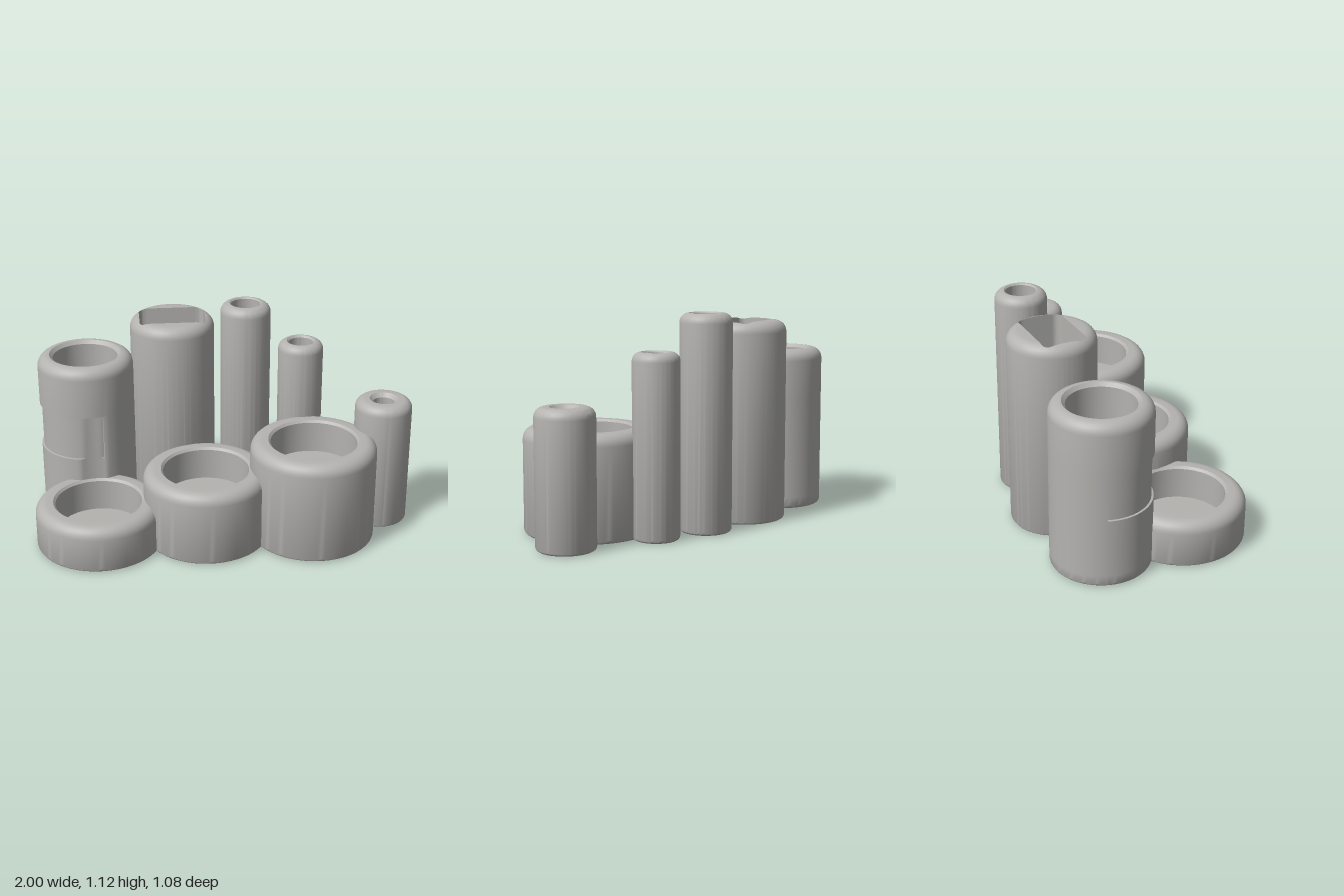
import * as THREE from 'three';
import { toCreasedNormals } from 'three/addons/utils/BufferGeometryUtils.js';

const TAU = Math.PI * 2;
const evenAngles = Array.from({ length: 96 }, (_, i) => (i / 96) * TAU);

// Revolve [radius, y] rows (bottom centre, outside, rim, inside, floor centre); warp may reshape each point
function revolve(rows, warp = (r, y) => [r, y], angles = evenAngles) {
  const pos = [], index = [], n = angles.length;
  rows.forEach(([r0, y0], i) => angles.forEach((t) => {
    const [r, y] = warp(r0, y0, t, i);
    pos.push(r * Math.cos(t), y, r * Math.sin(t));
  }));
  for (let i = 0; i < rows.length - 1; i++) {
    for (let j = 0; j < n; j++) {
      const a = i * n + j, b = i * n + ((j + 1) % n);
      index.push(a, a + n, b, b, a + n, b + n);
    }
  }
  const geo = new THREE.BufferGeometry();
  geo.setAttribute('position', new THREE.Float32BufferAttribute(pos, 3));
  geo.setIndex(index);
  return toCreasedNormals(geo, 0.6);
}

// Quarter-round rows centred at (r, y)
function fillet(r, y, size, from, to, steps = 7) {
  return Array.from({ length: steps + 1 }, (_, i) => {
    const a = from + ((to - from) * i) / steps;
    return [r + size * Math.cos(a), y + size * Math.sin(a)];
  });
}

// Outside of a cup: rounded base, wall and rounded shoulder, with optional extra wall rows
function shell(r, h, round, wall = []) {
  return [[0, 0], ...fillet(r - 0.02, 0.02, 0.02, -Math.PI / 2, 0, 4), ...wall,
    ...fillet(r - round, h - round, round, 0, Math.PI / 2)];
}

// Chamfered bore down to a flat floor
const bore = (rim, hole, h, floor) => [[rim, h], [hole, h - (rim - hole)], [hole, floor], [0, floor]];

export function createModel() {
  const group = new THREE.Group();
  const grey = new THREE.MeshStandardMaterial({ color: 0xb4b3b0 });
  grey.name = 'warm grey';
  const add = (name, geo, x, z) => {
    const mesh = new THREE.Mesh(geo, grey);
    mesh.name = name;
    mesh.position.set(x, 0, z);
    group.add(mesh);
  };

  // Round cups: name, x, z, radius, height, shoulder, rim radius, bore radius, floor height
  [
    ['lowWideCup', -0.67, 0.2, 0.33, 0.245, 0.06, 0.237, 0.225, 0.065],
    ['middleWideCup', -0.105, 0.178, 0.33, 0.395, 0.06, 0.237, 0.225, 0.215],
    ['tallWideCup', 0.455, 0.205, 0.33, 0.545, 0.06, 0.237, 0.225, 0.365],
    ['tallSlimTube', 0.15, -0.312, 0.135, 1.12, 0.05, 0.085, 0.078, 0.15],
    ['middleSlimTube', 0.435, -0.193, 0.12, 0.94, 0.045, 0.075, 0.065, 0.15],
    ['shortSlimTube', 0.845, 0.065, 0.15, 0.7, 0.05, 0.075, 0.055, 0.15],
  ].forEach(([name, x, z, r, h, round, rim, hole, floor]) =>
    add(name, revolve([...shell(r, h, round), ...bore(rim, hole, h, floor)]), x, z));

  // Back cup: shallow wrapped recess, and a groove clearing the bore of the low cup
  const R = 0.255, start = 1.23, end = 3.46, dx = 0.045, dz = 0.47, clear = 0.237;
  const recessed = (r, y, t) => {
    if (r < R - 0.001) return [r, y];
    if (y > 0.37 && y < 0.61 && t > start && t < end) r = R - 0.011;
    const along = dx * Math.cos(t) + dz * Math.sin(t);
    const disc = along * along - dx * dx - dz * dz + clear * clear;
    if (y > 0.062 && y < 0.61 && along > 0 && disc > 0) r = Math.min(r, along - Math.sqrt(disc));
    return [r, y];
  };
  const steps = [0.061, 0.063, 0.3695, 0.3705, 0.6095, 0.6105].map((y) => [R, y]);
  const angles = [...evenAngles, start - 0.001, start + 0.001, end - 0.001, end + 0.001].sort((a, b) => a - b);
  add('recessedCup', revolve([...shell(R, 0.88, 0.06, steps), ...bore(0.19, 0.172, 0.88, 0.1)],
    recessed, angles), -0.715, -0.27);

  // Slotted cup: the rounded rectangular slot cuts into the shoulder at both ends
  const r = 0.225, h = 1.06, round = 0.06, hx = 0.175, hz = 0.115, corner = 0.035;
  const slotRadius = (t) => {
    const c = Math.abs(Math.cos(t)), s = Math.abs(Math.sin(t));
    const d = Math.min(hx / Math.max(c, 1e-6), hz / Math.max(s, 1e-6));
    const cx = hx - corner, cz = hz - corner;
    if (d * c <= cx || d * s <= cz) return d;
    const along = c * cx + s * cz;
    return along + Math.sqrt(along * along - cx * cx - cz * cz + corner * corner);
  };
  const topAt = (q) => {
    const over = Math.max(0, q - (r - round));
    return h - round + Math.sqrt(Math.max(0, round * round - over * over));
  };
  const outside = shell(r, h, round);
  const slotted = (q, y, t, i) => {
    const s = slotRadius(t);
    if (i >= outside.length) return [q * s, y < 0 ? topAt(s) : y];
    return y > 0.9 && q < s ? [s, topAt(s)] : [q, y];
  };
  // The last rows are the slot edge, slot wall and floor, scaled by the slot outline
  const slotAngles = Array.from({ length: 192 }, (_, i) => (i / 192) * TAU);
  add('slottedCup', revolve([...outside, [1, -1], [1, 0.1], [0, 0.1]], slotted, slotAngles), -0.245, -0.315);

  return group;
}
